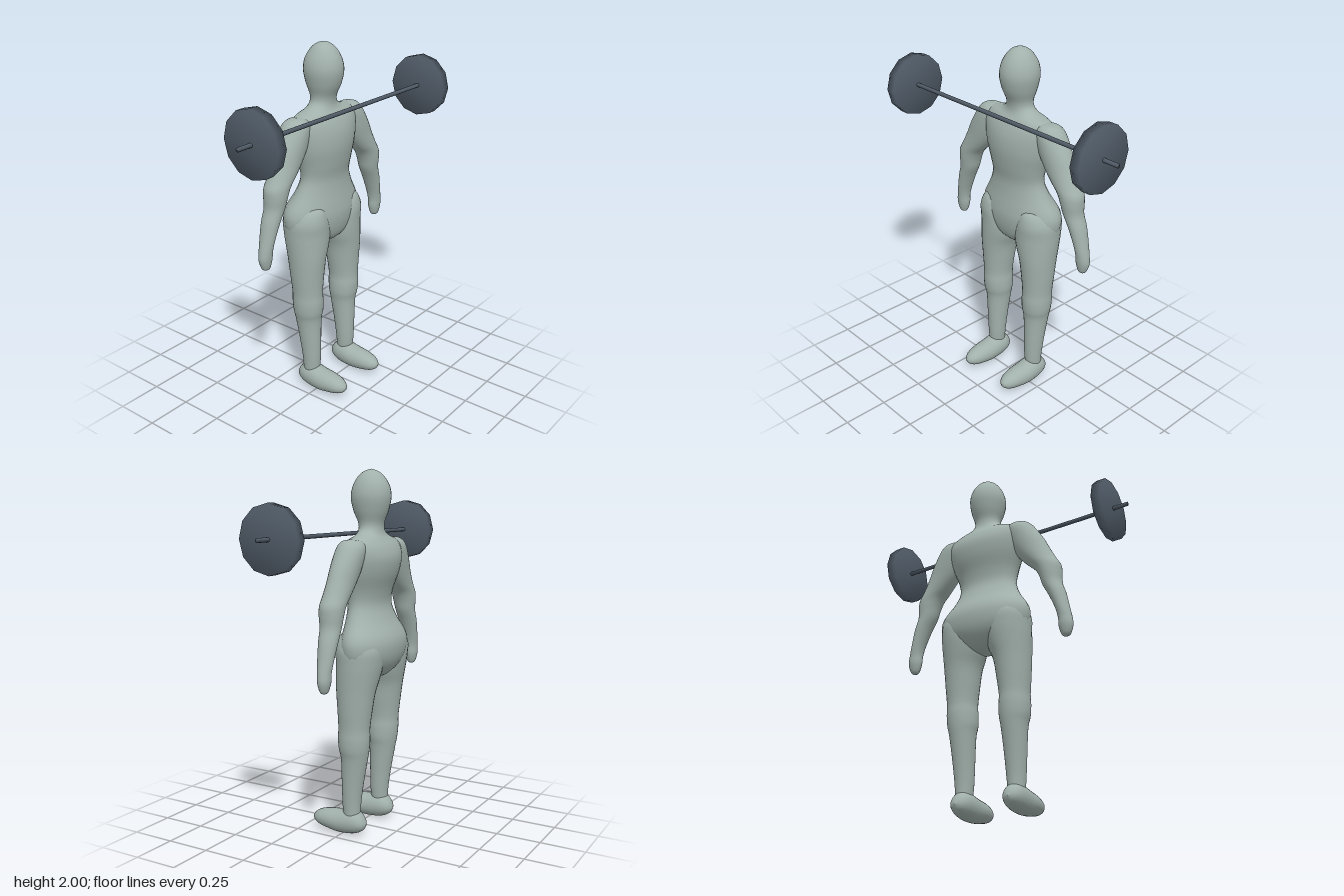
import * as THREE from 'three';
import { mergeVertices } from 'three/addons/utils/BufferGeometryUtils.js';

const skin = new THREE.MeshStandardMaterial({ color: 0xa2b1ac });
skin.name = 'grey green body';
const steel = new THREE.MeshStandardMaterial({ color: 0x505b67 });
steel.name = 'dark steel';

const SEGMENTS = 28, STEPS = 4;

// Smooth value between b and c
function spline(a, b, c, d, t) {
  const m = (c - a) / 2, n = (d - b) / 2;
  return b + m * t + (3 * (c - b) - 2 * m - n) * t * t + (2 * (b - c) + m + n) * t * t * t;
}

// Smooth skin over oval sections [t, x0, x1, v0, v1].
// place(x, v, t) puts a section point in space.
function loft(sections, place) {
  const rings = [];
  const last = sections.length - 1;
  const at = i => sections[Math.min(last, Math.max(0, i))];
  for (let i = 0; i < last; i++) {
    for (let s = 0; s < STEPS; s++) {
      rings.push(at(i).map((_, k) =>
        spline(at(i - 1)[k], at(i)[k], at(i + 1)[k], at(i + 2)[k], s / STEPS)));
    }
  }
  rings.push(at(last));

  const positions = [], index = [];
  rings.forEach(([t, x0, x1, v0, v1], i) => {
    const rx = Math.max(0.0005, (x1 - x0) / 2), rv = Math.max(0.0005, (v1 - v0) / 2);
    for (let j = 0; j < SEGMENTS; j++) {
      const a = (j / SEGMENTS) * Math.PI * 2;
      positions.push(...place((x0 + x1) / 2 + rx * Math.cos(a), (v0 + v1) / 2 + rv * Math.sin(a), t));
      if (i < rings.length - 1) {
        const p = i * SEGMENTS + j, q = i * SEGMENTS + (j + 1) % SEGMENTS;
        index.push(p, p + SEGMENTS, q, q, p + SEGMENTS, q + SEGMENTS);
      }
    }
  });
  const geometry = new THREE.BufferGeometry();
  geometry.setAttribute('position', new THREE.Float32BufferAttribute(positions, 3));
  geometry.setIndex(index);
  geometry.computeVertexNormals();
  return geometry;
}

const upright = (x, z, y) => [x, y, z];
const lengthwise = (x, y, z) => [x, y, z];
const onSide = (sections, side) =>
  sections.map(([t, x0, x1, a, b]) => (side > 0 ? [t, x0, x1, a, b] : [t, -x1, -x0, a, b]));

// Torso, neck and head: [y, half width, z back, z front]
const TRUNK = [
  [0.88, 0, -0.1, -0.1], [0.89, 0.06, -0.16, -0.04], [0.93, 0.17, -0.205, 0.01],
  [0.99, 0.255, -0.237, 0.032], [1.06, 0.275, -0.248, 0.04], [1.12, 0.262, -0.237, 0.035],
  [1.2, 0.21, -0.195, 0.024], [1.28, 0.178, -0.168, 0.02], [1.36, 0.188, -0.178, 0.034],
  [1.45, 0.22, -0.208, 0.045], [1.53, 0.24, -0.218, 0.04], [1.59, 0.245, -0.2, 0.022],
  [1.63, 0.21, -0.172, 0.0], [1.652, 0.13, -0.158, -0.012], [1.68, 0.085, -0.15, -0.018],
  [1.72, 0.076, -0.152, -0.012], [1.78, 0.093, -0.175, 0.015], [1.85, 0.105, -0.19, 0.03],
  [1.91, 0.095, -0.182, 0.02], [1.96, 0.068, -0.152, -0.008], [1.988, 0.037, -0.118, -0.042],
  [2.0, 0, -0.08, -0.08],
];

// Limbs of the left side: [y, x inner, x outer, z back, z front]
const LEG = [
  [0.06, 0.12, 0.2, -0.1, -0.01], [0.17, 0.108, 0.207, -0.103, 0.0], [0.3, 0.1, 0.217, -0.12, 0.003],
  [0.44, 0.09, 0.23, -0.145, 0.005], [0.5, 0.08, 0.243, -0.155, 0.016], [0.56, 0.079, 0.247, -0.16, 0.02],
  [0.62, 0.082, 0.246, -0.16, 0.017], [0.72, 0.07, 0.254, -0.172, 0.022], [0.82, 0.055, 0.26, -0.187, 0.03],
  [0.9, 0.025, 0.265, -0.205, 0.035], [0.98, 0.01, 0.268, -0.22, 0.037], [1.06, 0.03, 0.265, -0.22, 0.037],
  [1.13, 0.07, 0.22, -0.18, 0.01], [1.16, 0.14, 0.14, -0.08, -0.08],
];
const ARM = [
  [0.873, 0.485, 0.485, -0.085, -0.085], [0.88, 0.462, 0.508, -0.105, -0.065], [0.93, 0.446, 0.525, -0.12, -0.052],
  [0.98, 0.444, 0.52, -0.122, -0.047], [1.04, 0.43, 0.507, -0.128, -0.04], [1.13, 0.393, 0.488, -0.135, -0.03],
  [1.2, 0.357, 0.466, -0.137, -0.022], [1.26, 0.338, 0.465, -0.143, -0.013], [1.31, 0.312, 0.462, -0.146, -0.01],
  [1.36, 0.262, 0.435, -0.147, -0.01], [1.43, 0.2, 0.4, -0.152, -0.01], [1.5, 0.16, 0.367, -0.16, -0.008],
  [1.57, 0.14, 0.324, -0.165, -0.01], [1.61, 0.14, 0.295, -0.155, -0.02], [1.632, 0.17, 0.262, -0.125, -0.045],
  [1.637, 0.22, 0.22, -0.085, -0.085],
];
// Foot from toe to heel: [z, x inner, x outer, y bottom, y top]
const FOOT = [
  [0.197, 0.155, 0.155, 0.07, 0.07], [0.185, 0.13, 0.18, 0.045, 0.09], [0.15, 0.107, 0.203, 0.025, 0.113],
  [0.09, 0.094, 0.216, 0.012, 0.128], [0.03, 0.09, 0.222, 0.004, 0.135], [-0.04, 0.092, 0.22, 0.006, 0.148],
  [-0.09, 0.1, 0.212, 0.018, 0.142], [-0.125, 0.122, 0.192, 0.04, 0.108], [-0.141, 0.157, 0.157, 0.07, 0.07],
];

function add(parent, name, geometry, material) {
  const mesh = new THREE.Mesh(geometry, material);
  mesh.name = name;
  parent.add(mesh);
  return mesh;
}

// Cylinder along x with softly shaded rims
function rod(radius, length, sides) {
  const geometry = new THREE.CylinderGeometry(radius, radius, length, sides);
  geometry.deleteAttribute('normal');
  geometry.deleteAttribute('uv');
  const welded = mergeVertices(geometry);
  welded.computeVertexNormals();
  return welded.rotateZ(Math.PI / 2);
}

export function createModel() {
  const model = new THREE.Group();
  model.name = 'weightlifter';

  const figure = new THREE.Group();
  figure.name = 'figure';
  model.add(figure);
  add(figure, 'torsoAndHead', loft(TRUNK.map(([y, w, b, f]) => [y, -w, w, b, f]), upright), skin);
  for (const [side, label] of [[1, 'left'], [-1, 'right']]) {
    add(figure, label + 'Leg', loft(onSide(LEG, side), upright), skin);
    add(figure, label + 'Arm', loft(onSide(ARM, side), upright), skin);
    add(figure, label + 'Foot', loft(onSide(FOOT, side), lengthwise), skin);
  }

  // Barbell resting in front of the neck
  const barbell = new THREE.Group();
  barbell.name = 'barbell';
  barbell.position.set(0, 1.655, 0.072);
  model.add(barbell);
  add(barbell, 'bar', rod(0.0115, 1.625, 12), steel);
  for (const [side, label] of [[1, 'left'], [-1, 'right']]) {
    add(barbell, label + 'Plate', rod(0.174, 0.054, 12), steel).position.x = side * 0.698;
  }
  return model;
}
